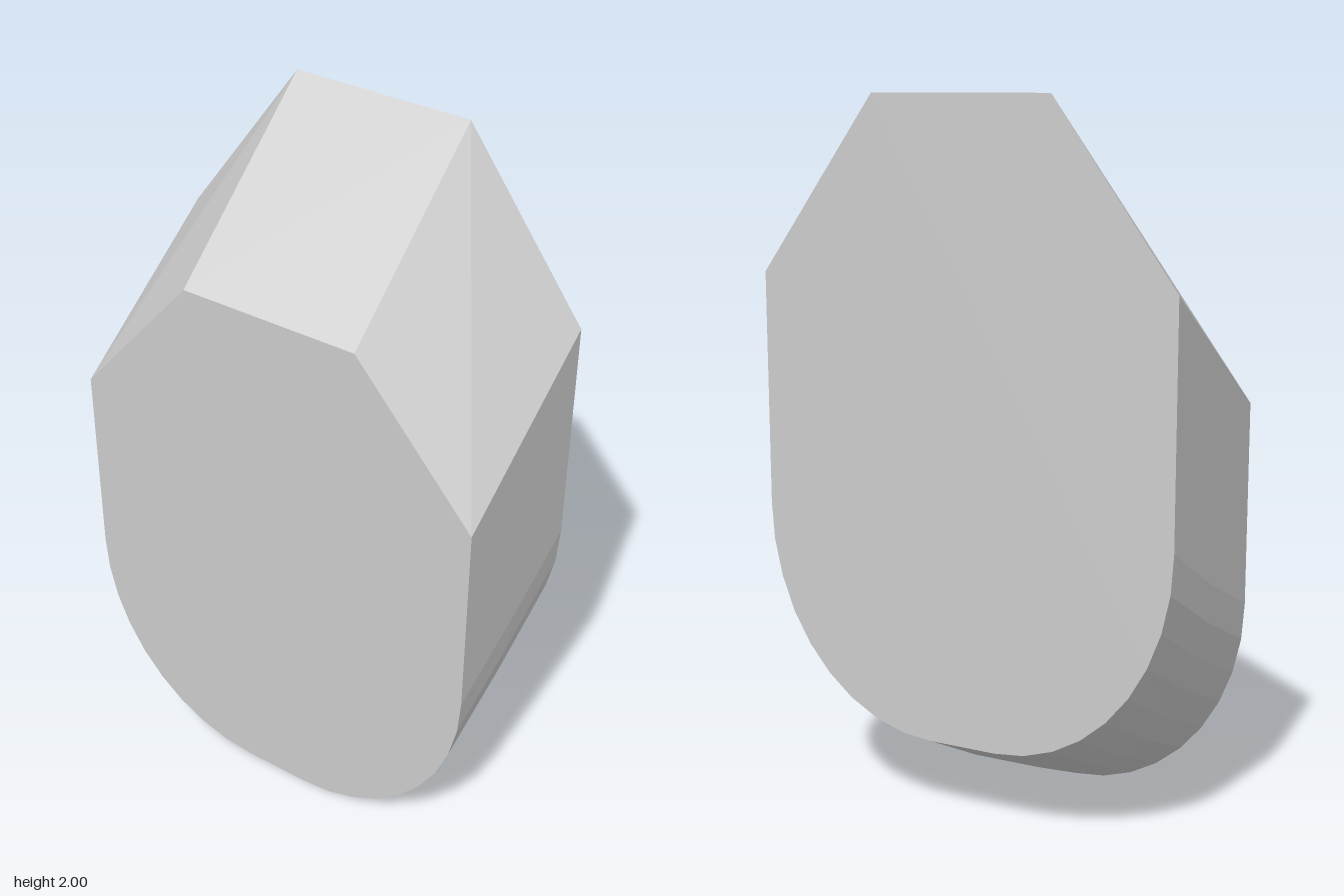
import * as THREE from 'three';

const HALF_W = 0.62, TOP_W = 0.265, FLAT_W = 0.1, DEPTH = 0.255, STEPS = 9;

// Counter-clockwise outline seen from the front: flat top, sloped shoulders, rounded base
function section(z, top, shoulder, straight, bottom) {
  const pts = [[TOP_W, top], [-TOP_W, top], [-HALF_W, shoulder]];
  const arc = [];
  for (let i = 0; i <= STEPS; i++) {
    const a = (i / STEPS) * Math.PI / 2;
    arc.push([FLAT_W + (HALF_W - FLAT_W) * Math.cos(a), straight - (straight - bottom) * Math.sin(a)]);
  }
  arc.forEach(([x, y]) => pts.push([-x, y]));
  arc.reverse().forEach(([x, y]) => pts.push([x, y]));
  pts.push([HALF_W, shoulder]);
  return pts.map(([x, y]) => new THREE.Vector3(x, y, z));
}

function createMesh(name, triangles) {
  const geometry = new THREE.BufferGeometry().setFromPoints(triangles);
  geometry.computeVertexNormals();
  const material = new THREE.MeshStandardMaterial({ color: 0xcccccc, flatShading: true });
  const mesh = new THREE.Mesh(geometry, material);
  mesh.name = name;
  return mesh;
}

// Wall between edge k of two outlines; the diagonal is mirrored left to right
function wall(front, back, k) {
  const n = front.length, j = (k + 1) % n;
  const a = front[k], b = front[j], c = back[k], d = back[j];
  return k < n / 2 ? [a, c, b, c, d, b] : [a, c, d, a, d, b];
}

// Flat cap fanned over the convex outline
function cap(pts, flip) {
  const out = [];
  for (let i = 1; i < pts.length - 1; i++) {
    out.push(pts[0], pts[flip ? i + 1 : i], pts[flip ? i : i + 1]);
  }
  return out;
}

export function createModel() {
  const group = new THREE.Group();
  group.name = 'slantedBlock';

  const front = section(DEPTH, 1.58, 1.17, 0.6, 0);
  const middle = section(0, 1.79, 1.3425, 0.72, 0.108);
  const back = section(-DEPTH, 2, 1.515, 0.86, 0.235);
  const n = front.length;

  // Sloped top with its two shoulder facets
  group.add(createMesh('slopedTop', [0, 1, n - 1].flatMap((k) => wall(front, back, k))));

  // Straight sides and rounded underside, gently bent at mid depth
  const sides = [];
  for (let k = 2; k < n - 1; k++) sides.push(...wall(front, middle, k), ...wall(middle, back, k));
  group.add(createMesh('sidesAndRoundedBase', sides));

  group.add(createMesh('frontFace', cap(front, false)));
  group.add(createMesh('backFace', cap(back, true)));
  return group;
}
